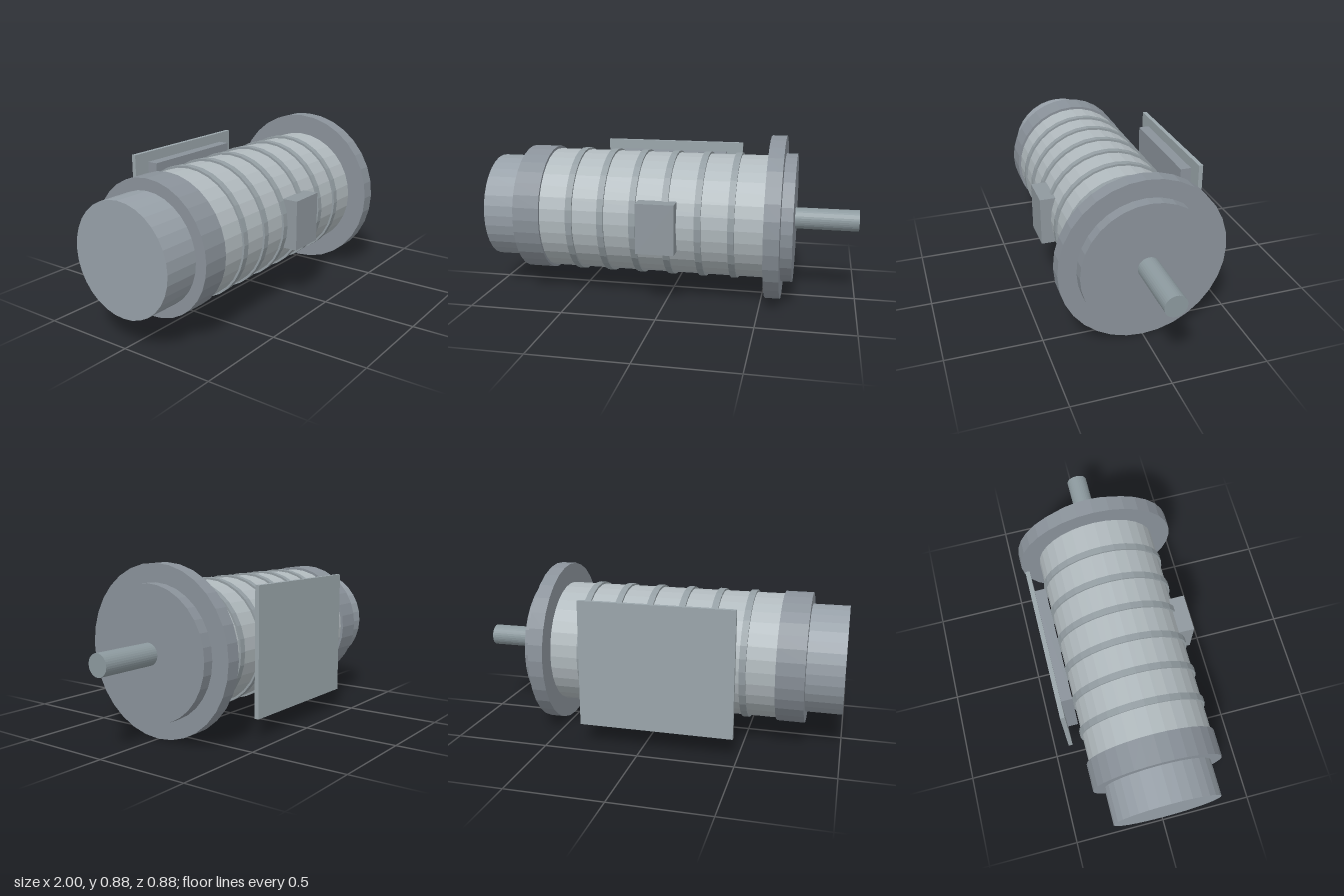
import * as THREE from 'three';

const AXIS_Y = 0.44;
const SIDES = 32;

function paint(color) {
  return new THREE.MeshStandardMaterial({ color, flatShading: true });
}

export function createModel() {
  const motor = new THREE.Group();
  motor.name = 'electricMotor';

  // Painted metal tones
  const castMetal = paint(0x8a929a);
  const capMetal = paint(0x97a0a8);
  const bodyMetal = paint(0xb1babe);
  const ribMetal = paint(0x949ea3);
  const shaftMetal = paint(0x8c999e);
  const boxMetal = paint(0x8f989e);
  const plateMetal = paint(0x9aa5aa);

  function add(name, material, geometry, x, y, z) {
    const mesh = new THREE.Mesh(geometry, material);
    mesh.name = name;
    mesh.position.set(x, y, z);
    motor.add(mesh);
  }

  // Round section along the shaft axis, from x0 to x1
  function drum(name, material, radius, x0, x1) {
    const geometry = new THREE.CylinderGeometry(radius, radius, x1 - x0, SIDES);
    geometry.rotateZ(-Math.PI / 2);
    add(name, material, geometry, (x0 + x1) / 2, AXIS_Y, 0);
  }

  // Box given by its extents on each axis
  function block(name, material, [x0, x1], [y0, y1], [z0, z1]) {
    add(name, material, new THREE.BoxGeometry(x1 - x0, y1 - y0, z1 - z0),
      (x0 + x1) / 2, (y0 + y1) / 2, (z0 + z1) / 2);
  }

  // Housing, end covers, flange and shaft
  drum('rearCap', capMetal, 0.285, -1, -0.81);
  drum('rearEndBell', castMetal, 0.345, -0.81, -0.666);
  drum('housing', bodyMetal, 0.331, -0.666, 0.525);
  drum('mountingFlange', castMetal, 0.439, 0.525, 0.605);
  drum('pilotRing', castMetal, 0.345, 0.605, 0.665);
  drum('shaft', shaftMetal, 0.057, 0.665, 1);

  // Flat raised bands around the housing
  for (let i = 0; i < 6; i++) {
    const x = -0.502 + i * 0.1715;
    drum(`coolingRib${i + 1}`, ribMetal, 0.342, x - 0.017, x + 0.017);
  }

  // Terminal box on the front
  block('terminalBox', boxMetal, [-0.128, 0.073], [0.308, 0.573], [0.28, 0.387]);

  // Mounting pad and plate on the back
  block('mountingPad', castMetal, [-0.38, 0.238], [0.162, 0.719], [-0.395, -0.337]);
  block('mountingPlate', plateMetal, [-0.477, 0.332], [0.108, 0.773], [-0.418, -0.395]);

  return motor;
}
